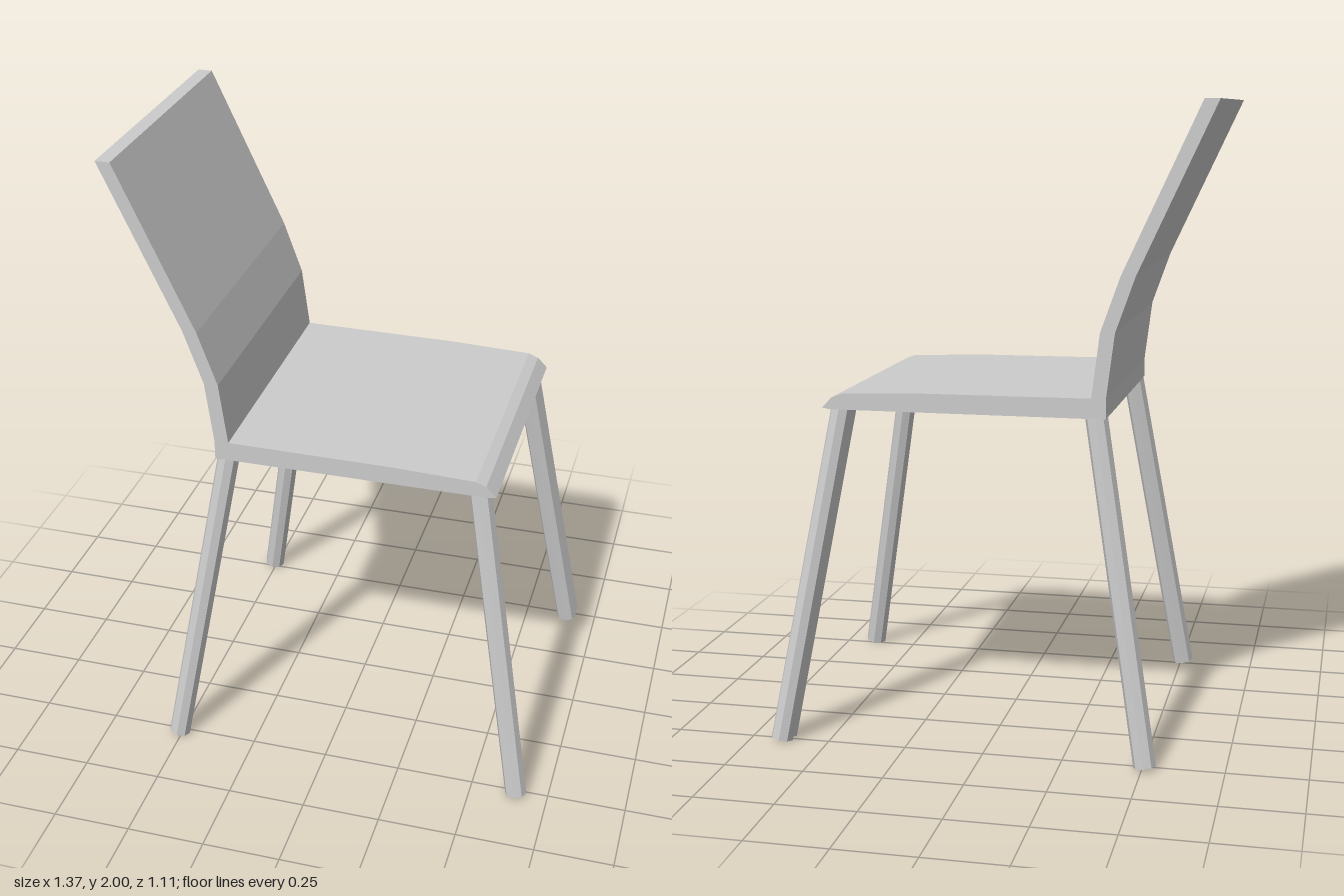
import * as THREE from 'three';

export function createModel() {
  const group = new THREE.Group();
  const material = new THREE.MeshStandardMaterial({ color: 0xcccccc, flatShading: true });

  // Seat and backrest: one bent side profile, extruded across the width
  const width = 0.856;
  const profile = [
    [-0.365, 1.055], [0.5, 1.055], [0.524, 1.06], [0.492, 1.093], [0.46, 1.105],
    [0.2, 1.114], [-0.32, 1.117], [-0.345, 1.315], [-0.405, 1.485], [-0.642, 2],
    [-0.688, 2], [-0.45, 1.485], [-0.39, 1.315], [-0.365, 1.117],
  ].map(([x, y]) => new THREE.Vector2(x, y));
  const shell = new THREE.Mesh(
    new THREE.ExtrudeGeometry(new THREE.Shape(profile), { depth: width, bevelEnabled: false }),
    material,
  );
  shell.geometry.translate(0, 0, -width / 2);
  shell.name = 'seatAndBackrest';
  group.add(shell);

  // Splayed eight-sided leg between two points
  const addLeg = (name, top, foot) => {
    const axis = top.clone().sub(foot);
    const leg = new THREE.Mesh(new THREE.CylinderGeometry(0.035, 0.035, axis.length(), 8), material);
    leg.position.copy(top).add(foot).multiplyScalar(0.5);
    leg.quaternion.setFromUnitVectors(new THREE.Vector3(0, 1, 0), axis.normalize());
    leg.name = name;
    group.add(leg);
  };

  for (const side of [-1, 1]) {
    const label = side > 0 ? 'Near' : 'Far';
    addLeg('backrestLeg' + label,
      new THREE.Vector3(-0.33, 1.065, side * 0.393), new THREE.Vector3(-0.508, 0.007, side * 0.518));
    addLeg('seatEdgeLeg' + label,
      new THREE.Vector3(0.468, 1.065, side * 0.393), new THREE.Vector3(0.648, 0.007, side * 0.518));
  }
  // Doubled leg beside the far seat-edge leg
  addLeg('seatEdgeLegDouble',
    new THREE.Vector3(0.468, 1.065, -0.353), new THREE.Vector3(0.648, 0.007, -0.478));

  return group;
}
